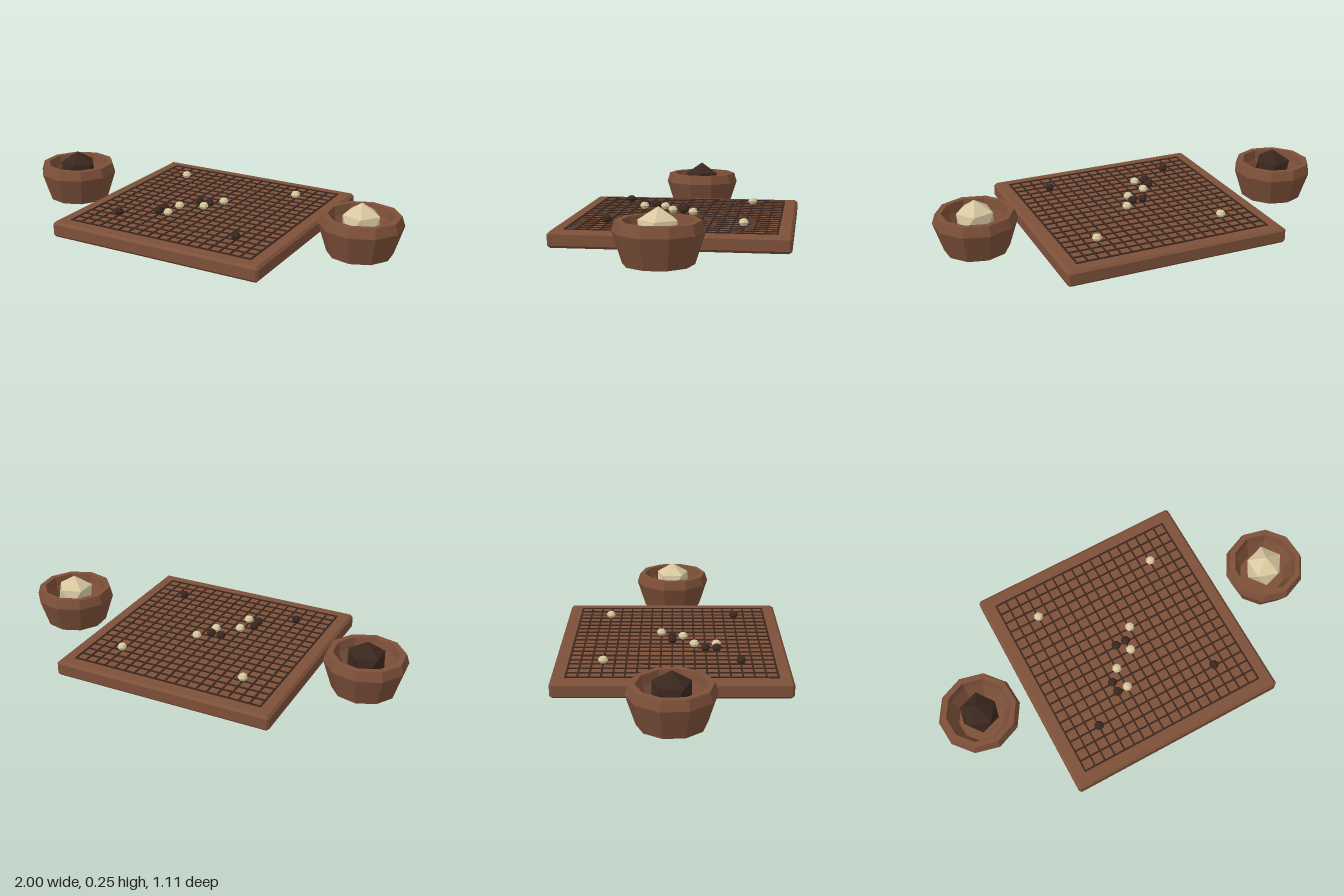
import * as THREE from 'three';

const mat = (name, color, side = THREE.FrontSide) => {
  const m = new THREE.MeshStandardMaterial({ color, flatShading: true, side });
  m.name = name;
  return m;
};

export function createModel() {
  const wood = mat('brown wood', 0x7d5039);
  const bowlWood = wood;
  const dark = mat('dark', 0x3a271e);
  const cream = mat('cream', 0xd8c8a0);

  const model = new THREE.Group();
  model.name = 'boardGameSet';
  const add = (parent, name, geometry, material, x = 0, y = 0, z = 0) => {
    const mesh = new THREE.Mesh(geometry, material);
    mesh.name = name;
    mesh.position.set(x, y, z);
    parent.add(mesh);
    return mesh;
  };

  // Board: square slab with every edge chamfered
  const half = 0.555, bevel = 0.012, height = 0.076;
  const a = half - bevel, c = a - 0.004;
  const outline = new THREE.Shape(
    [[a, -c], [a, c], [c, a], [-c, a], [-a, c], [-a, -c], [-c, -a], [c, -a]]
      .map(([x, y]) => new THREE.Vector2(x, y)));
  const slab = new THREE.ExtrudeGeometry(outline, {
    depth: height - 2 * bevel, bevelEnabled: true,
    bevelSize: bevel, bevelThickness: bevel, bevelSegments: 1,
  });
  slab.translate(0, 0, bevel);
  slab.rotateX(-Math.PI / 2);
  add(model, 'board', slab, wood);

  // Grid of 19 x 19 thin raised lines
  const step = 0.054, span = 18 * step, width = 0.008;
  const grid = new THREE.Group();
  grid.name = 'gridLines';
  model.add(grid);
  const lineX = new THREE.BoxGeometry(span + width, 0.006, width);
  const lineZ = new THREE.BoxGeometry(width, 0.0056, span + width);
  for (let i = -9; i <= 9; i++) {
    add(grid, 'rowLine', lineX, dark, 0, 0.078, i * step);
    add(grid, 'columnLine', lineZ, dark, i * step, 0.078, 0);
  }

  // Stones, placed by grid crossing
  const stone = new THREE.SphereGeometry(0.024, 8, 4);
  stone.scale(1, 0.8, 1);
  const placed = {
    darkStone: [[-6, 6], [6, 6], [-1, 0], [0, 0], [-3, 3], [-3, 4]],
    creamStone: [[-6, -6], [6, -6], [1, -1], [0, 1], [-2, 2], [-2, 4]],
  };
  for (const [name, spots] of Object.entries(placed)) {
    for (const [i, j] of spots) {
      add(model, name, stone, name === 'darkStone' ? dark : cream, i * step, 0.1, j * step);
    }
  }

  // Ten-sided hollow bowls, each holding a faceted heap of stones
  const profile = [[0, 0], [0.155, 0], [0.2, 0.14], [0.185, 0.187],
    [0.157, 0.187], [0.15, 0.14], [0.115, 0.05], [0, 0.05]]
    .map(([r, y]) => new THREE.Vector2(r, y));
  const bowl = new THREE.LatheGeometry(profile, 10);

  // Icosahedron turned so that one corner points up
  const heap = new THREE.IcosahedronGeometry(0.1, 0);
  const corner = new THREE.Vector3(0, 1, (1 + Math.sqrt(5)) / 2).normalize();
  heap.applyQuaternion(new THREE.Quaternion().setFromUnitVectors(corner, new THREE.Vector3(0, 1, 0)));
  heap.rotateY(Math.PI / 2);

  for (const [side, name, material] of [[-1, 'dark', dark], [1, 'cream', cream]]) {
    const holder = new THREE.Group();
    holder.name = name + 'StoneBowl';
    holder.position.x = side * 0.806;
    model.add(holder);
    add(holder, 'bowl', bowl, bowlWood).rotation.y = 0.07;
    add(holder, 'stoneHeap', heap, material, 0, 0.145, 0);
  }
  return model;
}
